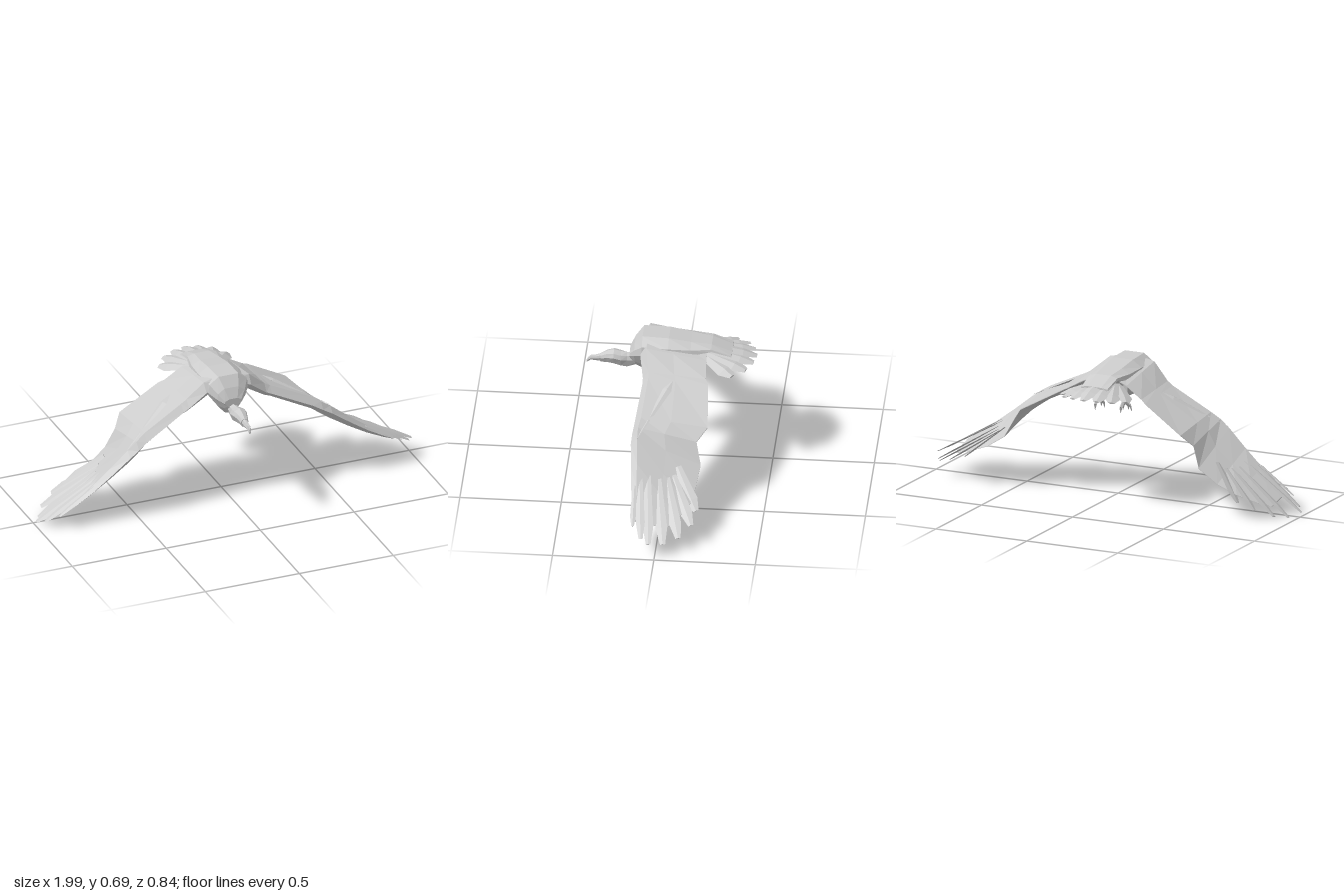
import * as THREE from 'three';

const material = new THREE.MeshStandardMaterial({ color: 0xcccccc, flatShading: true, side: THREE.DoubleSide });
const CX = -0.02; // the body sits slightly off the middle of the span
const V = (x, y, z) => new THREE.Vector3(x, y, z);

// Skin a closed solid through rings of points, facing outwards
function loft(name, rings) {
  const tris = [], n = rings[0].length, last = rings[rings.length - 1];
  for (let i = 0; i < rings.length - 1; i++) {
    for (let j = 0; j < n; j++) {
      const k = (j + 1) % n, a = rings[i], b = rings[i + 1];
      tris.push([a[j], a[k], b[k]], [a[j], b[k], b[j]]);
    }
  }
  for (let j = 1; j < n - 1; j++) {
    tris.push([rings[0][0], rings[0][j + 1], rings[0][j]], [last[0], last[j], last[j + 1]]);
  }
  const volume = tris.reduce((sum, [a, b, c]) => sum + a.dot(b.clone().cross(c)), 0);
  if (volume < 0) tris.forEach(t => t.reverse());
  const geometry = new THREE.BufferGeometry().setFromPoints(tris.flat());
  geometry.computeVertexNormals();
  const mesh = new THREE.Mesh(geometry, material);
  mesh.name = name;
  return mesh;
}

// Feather or claw: thin diamond section along a line; profile = [distance, width factor]
function blade(name, base, tip, width, thick, normal, map = p => p, profile = [[0, 0.6], [0.75, 1], [1, 0.45]]) {
  const dir = tip.clone().sub(base);
  const side = dir.clone().cross(normal).normalize();
  const up = side.clone().cross(dir).normalize();
  return loft(name, profile.map(([t, w]) => {
    const c = base.clone().lerp(tip, t), at = (s, u) =>
      map(c.clone().addScaledVector(side, s * w * width / 2).addScaledVector(up, u * w * thick / 2));
    return [at(1, 0), at(0, 1), at(-1, 0), at(0, -1)];
  }));
}

// Ten-sided section across the body: z, half width, top, bottom
function bodyRing([z, w, top, bottom]) {
  const m = bottom + (top - bottom) * 0.6, low = bottom + (top - bottom) * 0.22;
  const half = [[0.5, top], [0.95, top - (top - m) * 0.45], [1, m], [0.55, low], [0.2, bottom]];
  return [...half.map(([f, y]) => V(CX + f * w, y, z)), ...half.reverse().map(([f, y]) => V(CX - f * w, y, z))];
}

// Seven-sided section of head and neck with a ridge on top
function headRing([z, w, top, bottom]) {
  const m = bottom + (top - bottom) * 0.55;
  return [V(CX, top, z), V(CX + w * 0.75, (top + m) / 2 + 0.005, z), V(CX + w, m, z), V(CX + w * 0.5, bottom, z),
    V(CX - w * 0.5, bottom, z), V(CX - w, m, z), V(CX - w * 0.75, (top + m) / 2 + 0.005, z)];
}

// x, leading z and y, trailing z and y, thickness
const wingSections = [
  [0.00, 0.14, 0.660, -0.18, 0.640, 0.04],
  [0.10, 0.145, 0.628, -0.18, 0.605, 0.07],
  [0.19, 0.125, 0.555, -0.185, 0.555, 0.055],
  [0.22, 0.125, 0.540, -0.20, 0.540, 0.05],
  [0.43, 0.145, 0.442, -0.215, 0.425, 0.055],
  [0.48, 0.152, 0.413, -0.165, 0.370, 0.058],
  [0.53, 0.155, 0.384, -0.19, 0.270, 0.058],
  [0.63, 0.145, 0.308, -0.175, 0.205, 0.046],
  [0.73, 0.135, 0.236, -0.155, 0.165, 0.034],
  [0.82, 0.125, 0.180, -0.10, 0.130, 0.02],
  [0.875, 0.115, 0.147, -0.05, 0.110, 0.008],
];
// Flight feathers: base, tip, width
const flightFeathers = [
  [[0.72, 0.25, 0.12], [0.91, 0.135, 0.113], 0.03],
  [[0.66, 0.285, 0.10], [0.97, 0.100, 0.068], 0.045],
  [[0.66, 0.275, 0.06], [1.00, 0.088, 0.028], 0.052],
  [[0.66, 0.258, 0.01], [0.965, 0.070, -0.040], 0.058],
  [[0.64, 0.255, -0.03], [0.92, 0.083, -0.112], 0.06],
  [[0.62, 0.258, -0.06], [0.84, 0.110, -0.168], 0.06],
  [[0.58, 0.285, -0.08], [0.75, 0.140, -0.185], 0.065],
];

function wing(name, side) {
  const g = new THREE.Group();
  g.name = name;
  // The right wing mirrors the left and hangs a little lower from the shoulder
  const px = 0.1, py = 0.65, d = side < 0 ? 0.08 : 0;
  const map = p => {
    const x = p.x - px, y = p.y - py;
    const rx = px + x * Math.cos(d) + y * Math.sin(d), ry = py + y * Math.cos(d) - x * Math.sin(d);
    return V(side < 0 ? 2 * CX - rx : rx, ry, p.z);
  };
  // Thick leading edge with a ridge behind it, thinning to the trailing edge
  g.add(loft('wingPanel', wingSections.map(([x, zl, yl, zt, yt, t]) => {
    const at = (f, o) => map(V(x, yl + (yt - yl) * f + o * t, zl + (zt - zl) * f));
    return [at(0, -0.2), at(0.09, 0.5), at(0.5, 0.3), at(1, 0.03), at(1, -0.03), at(0.5, -0.3), at(0.1, -0.7)];
  })));
  const normal = V(0.5, 0.85, 0.12);
  flightFeathers.forEach(([a, b, w]) =>
    g.add(blade('flightFeather', V(...a), V(...b), w, 0.008, normal, map)));
  // Long covert lying on top, widening towards the body
  g.add(blade('covert', V(0.53, 0.408, 0.123), V(0.23, 0.56, -0.025), 0.045, 0.016, normal, map,
    [[0, 0.05], [0.85, 1], [1, 0.1]]));
  return g;
}

function foot(name, s) {
  const g = new THREE.Group();
  g.name = name;
  const x = CX + s * 0.07, z = -0.12;
  g.add(blade('thigh', V(CX + s * 0.055, 0.6, z + 0.02), V(x, 0.505, z), 0.05, 0.05, V(0, 0, 1), undefined,
    [[0, 0.9], [0.5, 1], [1, 0.4]]));
  const ankle = V(x, 0.51, z);
  [[-0.016, 0.03], [0.004, 0.042], [0.024, 0.026], [0, -0.03]].forEach(([dx, dz]) => {
    const knuckle = V(x + s * dx, 0.482, z + dz);
    g.add(blade('toe', ankle, knuckle, 0.018, 0.018, V(0, 1, 0.1), undefined, [[0, 1], [1, 0.9]]));
    g.add(blade('claw', knuckle, V(x + s * dx * 1.25, 0.455, z + dz * 1.1), 0.016, 0.016, V(0, 0, 1), undefined,
      [[0, 1], [1, 0.1]]));
  });
  return g;
}

export function createModel() {
  const model = new THREE.Group();
  model.name = 'soaringBird';

  model.add(loft('body', [
    [0.205, 0.045, 0.59, 0.535], [0.18, 0.075, 0.64, 0.505], [0.14, 0.105, 0.69, 0.488],
    [0.01, 0.11, 0.686, 0.495], [-0.10, 0.10, 0.668, 0.54], [-0.20, 0.08, 0.654, 0.602],
    [-0.30, 0.075, 0.616, 0.588],
  ].map(bodyRing)));

  // Neck and head in one run, ending in a hooked beak
  model.add(loft('neckAndHead', [
    [0.15, 0.022, 0.555, 0.51], [0.22, 0.026, 0.562, 0.487], [0.25, 0.036, 0.567, 0.494],
    [0.285, 0.038, 0.575, 0.505], [0.32, 0.028, 0.566, 0.508], [0.35, 0.02, 0.547, 0.506],
  ].map(headRing)));
  model.add(loft('beak', [
    [0.345, 0.016, 0.548, 0.508], [0.375, 0.013, 0.535, 0.511], [0.4, 0.011, 0.531, 0.513],
    [0.413, 0.008, 0.52, 0.502], [0.42, 0.003, 0.506, 0.497],
  ].map(headRing)));

  // Tail fan of broad overlapping feathers, lower towards its edges
  const tips = [[0, 0.576, -0.42], [0.065, 0.574, -0.408], [0.13, 0.568, -0.375], [0.18, 0.56, -0.312]];
  tips.forEach(([x, y, z], i) => (i ? [1, -1] : [1]).forEach(s =>
    model.add(blade('tailFeather', V(CX + s * (0.01 + x * 0.3), 0.637 - x * 0.2, -0.17),
      V(CX + s * x, y, z), 0.088, 0.026, V(s * x * 1.5, 1, 0), undefined, [[0, 0.6], [0.72, 1], [1, 0.4]]))));

  model.add(wing('leftWing', 1), wing('rightWing', -1), foot('leftFoot', 1), foot('rightFoot', -1));
  return model;
}
